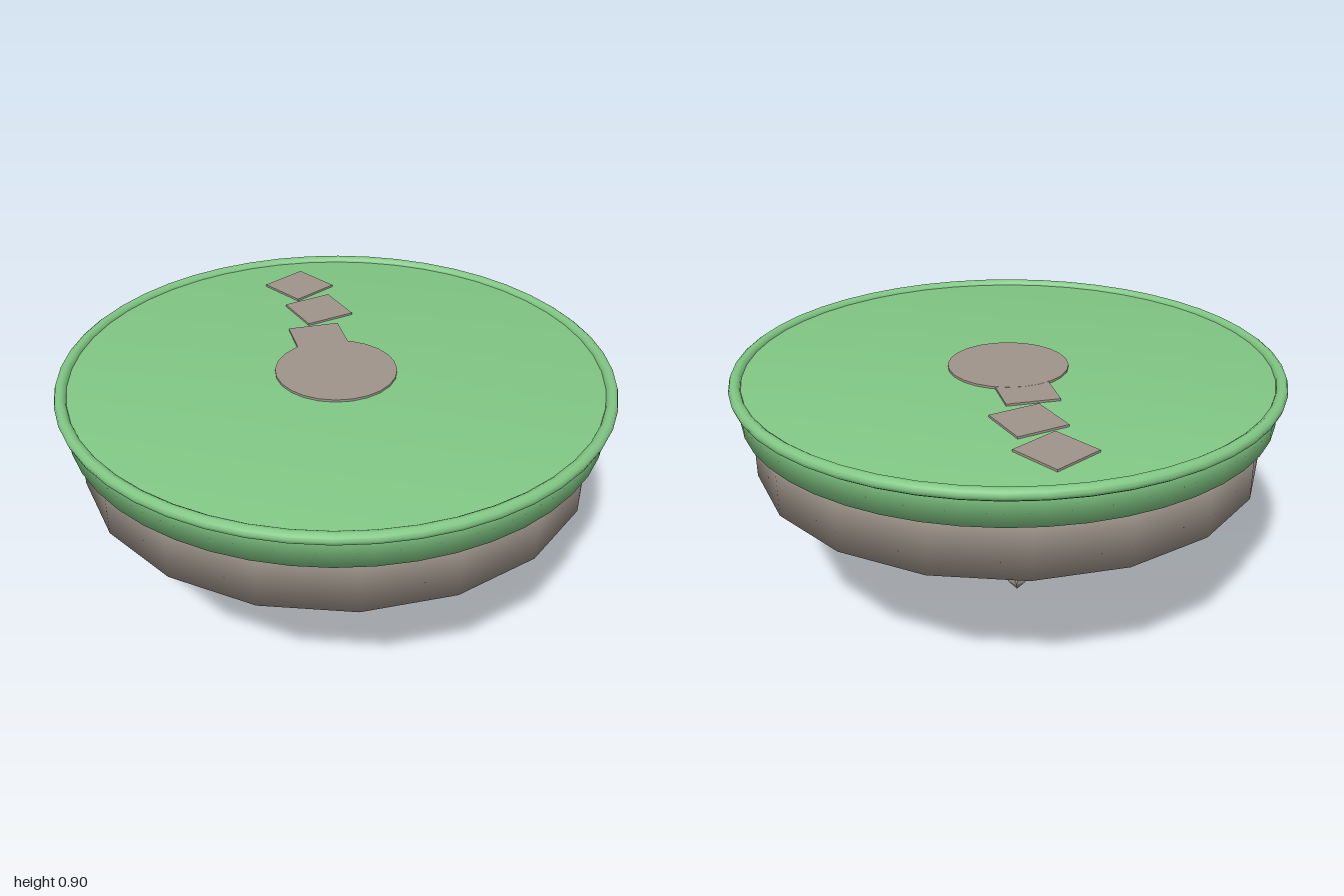
import * as THREE from 'three';

export function createModel() {
  const model = new THREE.Group();
  model.name = 'floatingIsland';

  const grass = new THREE.MeshStandardMaterial({ color: 0x81c784 });
  grass.name = 'grass green';
  const stone = new THREE.MeshStandardMaterial({ color: 0x9e948a });
  stone.name = 'stone grey';

  const add = (name, geometry, material, x = 0, y = 0, z = 0) => {
    const mesh = new THREE.Mesh(geometry, material);
    mesh.name = name;
    mesh.position.set(x, y, z);
    model.add(mesh);
    return mesh;
  };

  // Closed turned solid whose normals blend softly over the edges, first corner on +x
  const turned = (bottomR, bottomY, topR, topY, sides) =>
    new THREE.LatheGeometry(
      [[0, bottomY], [bottomR, bottomY], [topR, topY], [0, topY]].map(([r, y]) => new THREE.Vector2(r, y)),
      sides, Math.PI / 2);

  // Grass slab with a rounded rim
  add('grassSlab', turned(0.968, 0.76, 0.968, 0.882, 48), grass);
  const rim = add('grassRim', new THREE.TorusGeometry(0.977, 0.022, 10, 48), grass, 0, 0.878, 0);
  rim.rotation.x = Math.PI / 2;

  // Rock underside: faceted drum and truncated cone
  add('rockDrum', turned(0.93, 0.55, 0.93, 0.765, 18), stone);
  add('rockCone', turned(0.088, 0.11, 0.81, 0.555, 16), stone);

  // Round plaza and stepping slabs laid on the grass
  add('plaza', new THREE.CylinderGeometry(0.22, 0.22, 0.009, 24), stone, 0, 0.886, 0);
  [[0, -0.255, 0], [0.055, -0.49, 15], [0.03, -0.725, 30]].forEach(([x, z, degrees], i) => {
    const slab = add(`pathSlab${i + 1}`, new THREE.BoxGeometry(0.193, 0.008, 0.193), stone, x, 0.886, z);
    slab.rotation.y = THREE.MathUtils.degToRad(degrees);
  });

  // Small hanging rocks: stretched icosahedra standing on a point
  [
    [0.275, 0.105, 0.17, 0.055, 0.105],
    [-0.305, 0.165, -0.205, 0.043, 0.085],
    [0.05, 0.203, -0.33, 0.038, 0.07],
  ].forEach(([x, y, z, radius, halfHeight], i) => {
    const shard = new THREE.IcosahedronGeometry(1, 0);
    shard.rotateZ(Math.atan(2 / (1 + Math.sqrt(5))));
    shard.scale(radius, halfHeight, radius);
    add(`hangingRock${i + 1}`, shard, stone, x, y, z);
  });

  return model;
}
